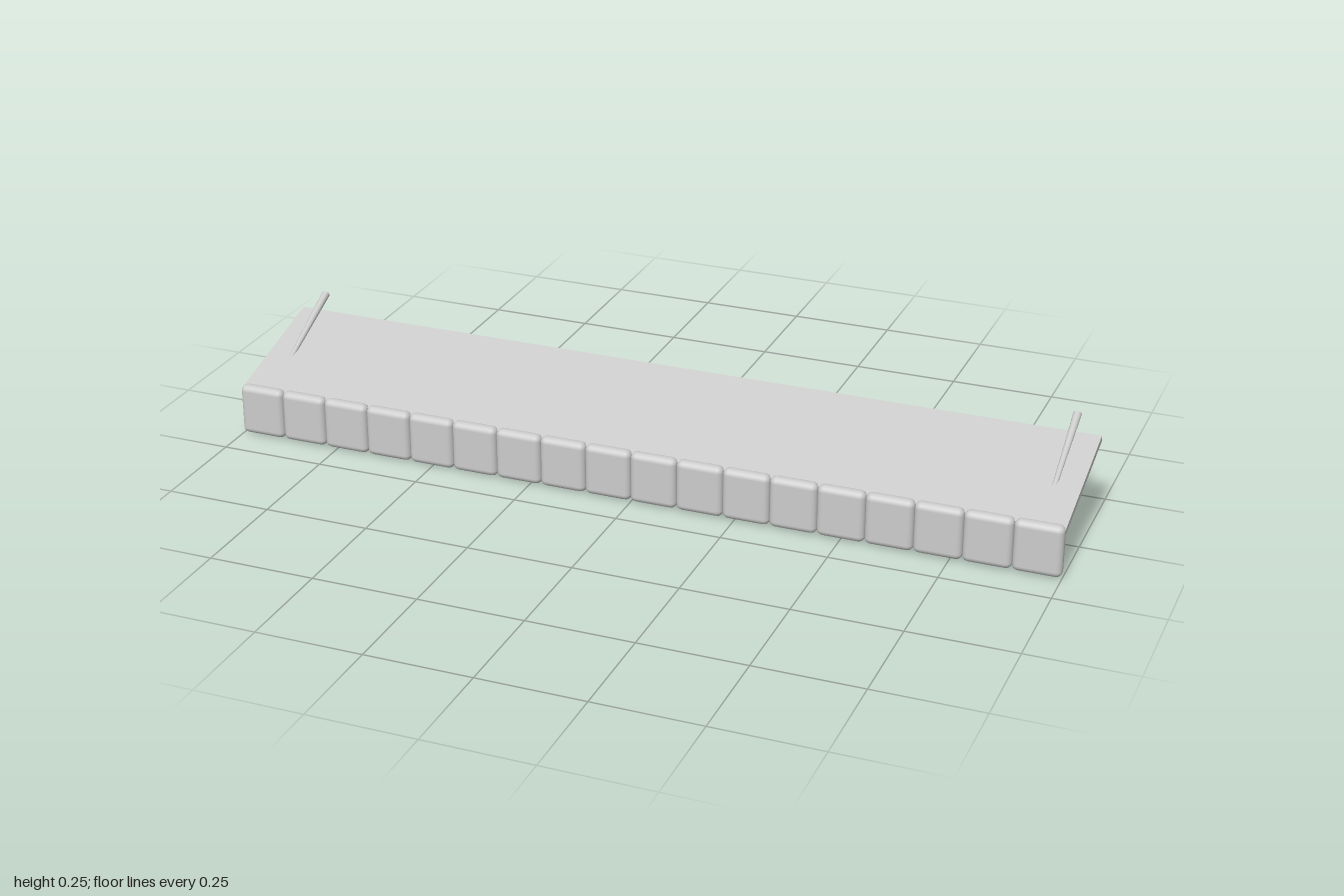
import * as THREE from 'three';
import { RoundedBoxGeometry } from 'three/addons/geometries/RoundedBoxGeometry.js';

const COUNT = 18;
const PITCH = 2 / COUNT;

export function createModel() {
  const grey = new THREE.MeshStandardMaterial({ color: 0xcccccc });
  grey.name = 'light grey';
  const model = new THREE.Group();
  model.name = 'canopy';

  const add = (parent, name, geometry) => {
    const mesh = new THREE.Mesh(geometry, grey);
    mesh.name = name;
    parent.add(mesh);
    return mesh;
  };

  // Row of rounded valance blocks along the front, with sloping roof panels behind
  const valance = new THREE.Group();
  valance.name = 'valance';
  const roof = new THREE.Group();
  roof.name = 'roof';
  model.add(valance, roof);

  const block = new RoundedBoxGeometry(PITCH, 0.123, 0.032, 3, 0.0145);
  const panel = new THREE.BoxGeometry(PITCH, 0.015, 0.322);
  const slope = Math.atan2(0.0845, 0.312);
  for (let i = 0; i < COUNT; i++) {
    const x = -1 + (i + 0.5) * PITCH;
    add(valance, 'valanceBlock', block).position.set(x, 0.0655, 0.154);
    const slab = add(roof, 'roofPanel', panel);
    slab.position.set(x, 0.1533, -0.004);
    slab.rotation.x = slope;
  }

  // Tapered struts, thin at the valance and thick at the rear
  const addStrut = (name, x, front, rear) => {
    const a = new THREE.Vector3(x, ...front);
    const b = new THREE.Vector3(x, ...rear);
    const axis = b.clone().sub(a);
    const strut = add(model, name, new THREE.CylinderGeometry(0.0098, 0.0028, axis.length(), 12));
    strut.position.copy(a).add(b).multiplyScalar(0.5);
    strut.quaternion.setFromUnitVectors(new THREE.Vector3(0, 1, 0), axis.normalize());
  };
  for (const [side, x] of [['left', 0.94], ['right', -0.94]]) {
    addStrut(side + 'UpperStrut', x, [0.0875, 0.148], [0.2435, -0.166]);
    addStrut(side + 'LowerStrut', x, [0.0825, 0.148], [0.011, -0.167]);
  }
  return model;
}
